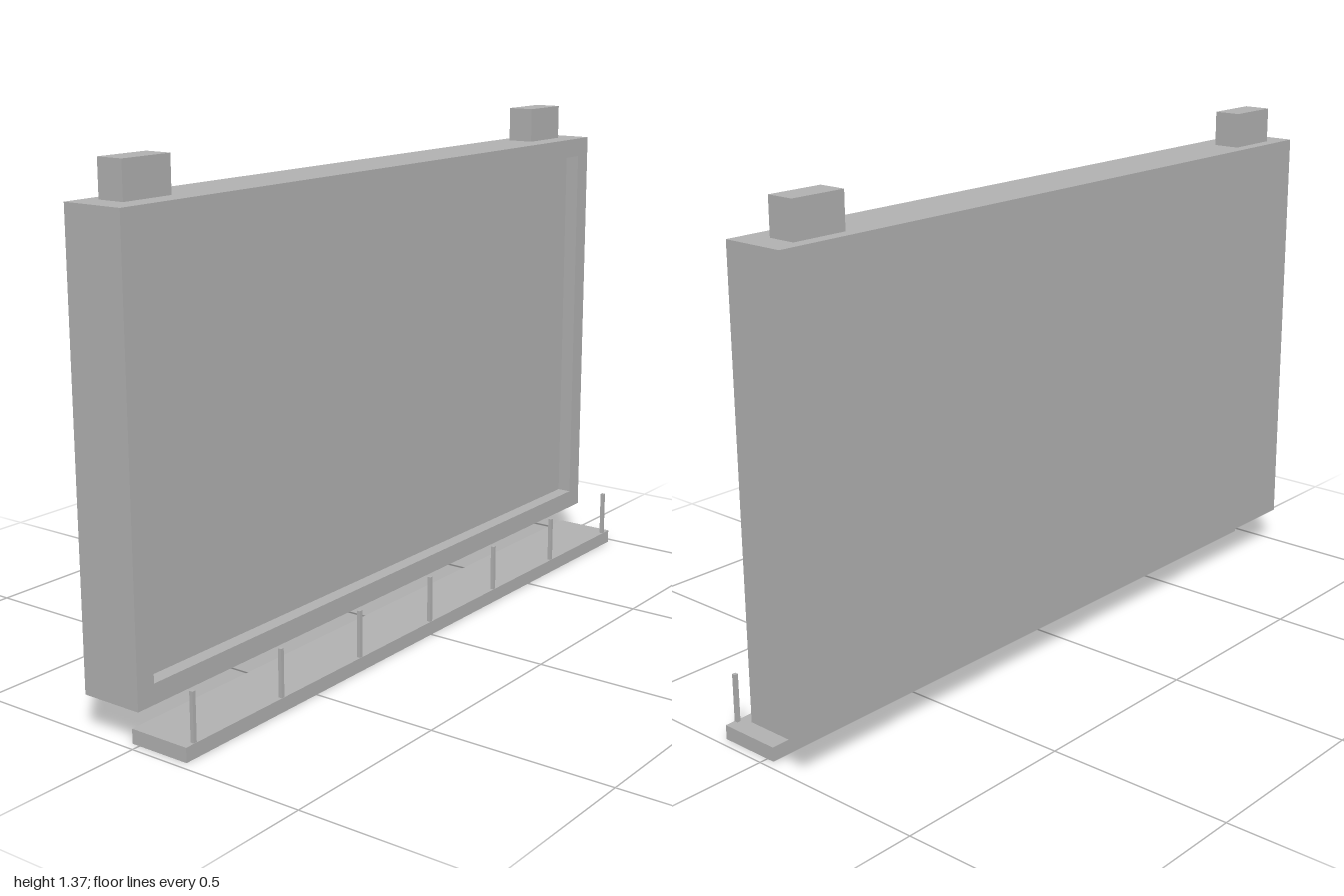
import * as THREE from 'three';

export function createModel() {
  const model = new THREE.Group();
  model.name = 'billboard';
  const grey = new THREE.MeshStandardMaterial({ name: 'grey', color: 0xb2b2b2 });

  const add = (name, geometry) => {
    const mesh = new THREE.Mesh(geometry, grey);
    mesh.name = name;
    model.add(mesh);
    return mesh;
  };

  // Box given by its lower and upper corners
  const box = (name, [x0, y0, z0], [x1, y1, z1]) =>
    add(name, new THREE.BoxGeometry(x1 - x0, y1 - y0, z1 - z0))
      .position.set((x0 + x1) / 2, (y0 + y1) / 2, (z0 + z1) / 2);

  const rectangle = (PathType, x, y0, y1) => new PathType([
    new THREE.Vector2(-x, y0), new THREE.Vector2(x, y0),
    new THREE.Vector2(x, y1), new THREE.Vector2(-x, y1),
  ]);

  // Solid cabinet whose front face is the recessed display panel
  const panelZ = -0.017, frontZ = 0.023;
  box('cabinet', [-1, 0.099, -0.15], [1, 1.27, panelZ]);

  // Raised border around the panel
  const border = rectangle(THREE.Shape, 1, 0.099, 1.27);
  border.holes.push(rectangle(THREE.Path, 0.945, 0.152, 1.217));
  add('frame', new THREE.ExtrudeGeometry(border, { depth: frontZ - panelZ, bevelEnabled: false }))
    .position.z = panelZ;

  // Hanging blocks on the top edge
  for (const side of [-1, 1]) {
    const a = side * 0.773, b = side * 0.928;
    box(side > 0 ? 'leftTopBlock' : 'rightTopBlock',
      [Math.min(a, b), 1.27, -0.115], [Math.max(a, b), 1.366, -0.039]);
  }

  // Walkway below the panel, with a row of thin posts along its front edge
  box('walkway', [-0.977, 0, -0.022], [0.977, 0.038, 0.15]);
  for (let i = -3; i <= 3; i++) {
    const x = i * 0.315;
    box('post', [x - 0.005, 0.038, 0.139], [x + 0.005, 0.166, 0.149]);
  }

  return model;
}
